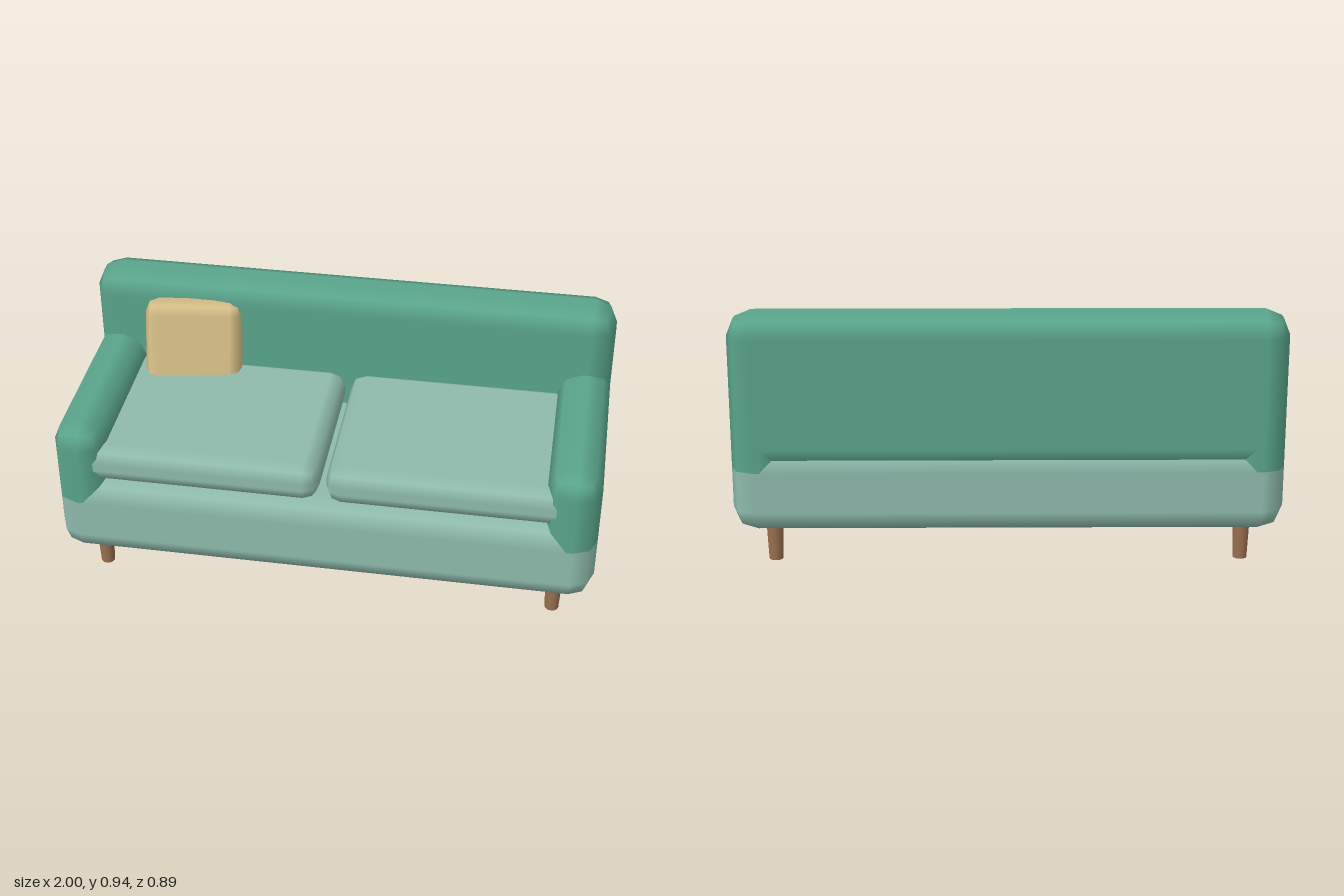
import * as THREE from 'three';
import { RoundedBoxGeometry } from 'three/addons/geometries/RoundedBoxGeometry.js';

function material(name, color) {
  const m = new THREE.MeshStandardMaterial({ color });
  m.name = name;
  return m;
}

export function createModel() {
  const sofa = new THREE.Group();
  sofa.name = 'sofa';

  const green = material('green fabric', 0x5aa58c);
  const sage = material('sage fabric', 0x8fbbad);
  const sand = material('sand fabric', 0xd6be88);
  const wood = material('wood', 0x9a7150);

  // Soft block given by its [min, max] range on each axis
  function softBlock(name, mat, [x0, x1], [y0, y1], [z0, z1], radius) {
    const geometry = new RoundedBoxGeometry(x1 - x0, y1 - y0, z1 - z0, 1, radius);
    const mesh = new THREE.Mesh(geometry, mat);
    mesh.name = name;
    mesh.position.set((x0 + x1) / 2, (y0 + y1) / 2, (z0 + z1) / 2);
    sofa.add(mesh);
    return mesh;
  }

  // Base and backrest
  const r = 0.087;
  softBlock('base', sage, [-1, 1], [0.132, 0.457], [-0.445, 0.445], r);
  softBlock('backrest', green, [-1, 1], [0.37, 0.945], [-0.445, -0.23], r);

  // Arms, seat cushions and legs, mirrored left and right
  const legGeometry = new THREE.CylinderGeometry(0.032, 0.026, 0.15, 12);
  for (const [side, s] of [['left', 1], ['right', -1]]) {
    const span = (a, b) => (s > 0 ? [a, b] : [-b, -a]);
    softBlock(side + 'Arm', green, span(0.805, 1), [0.283, 0.685], [-0.445, 0.445], r);
    softBlock(side + 'SeatCushion', sage, span(0.012, 0.9), [0.455, 0.6], [-0.27, 0.427], 0.058);
    for (const [end, z] of [['Front', 0.315], ['Back', -0.315]]) {
      const leg = new THREE.Mesh(legGeometry, wood);
      leg.name = side + end + 'Leg';
      leg.position.set(s * 0.858, 0.075, z);
      sofa.add(leg);
    }
  }

  // Loose pillow, turned a little and leaning on the backrest
  const pillow = softBlock('pillow', sand, [-0.785, -0.415], [0.51, 0.88], [-0.255, -0.135], 0.05);
  pillow.position.set(-0.6, 0.692, -0.195);
  pillow.rotation.set(-0.2, 0.19, 0);

  return sofa;
}
